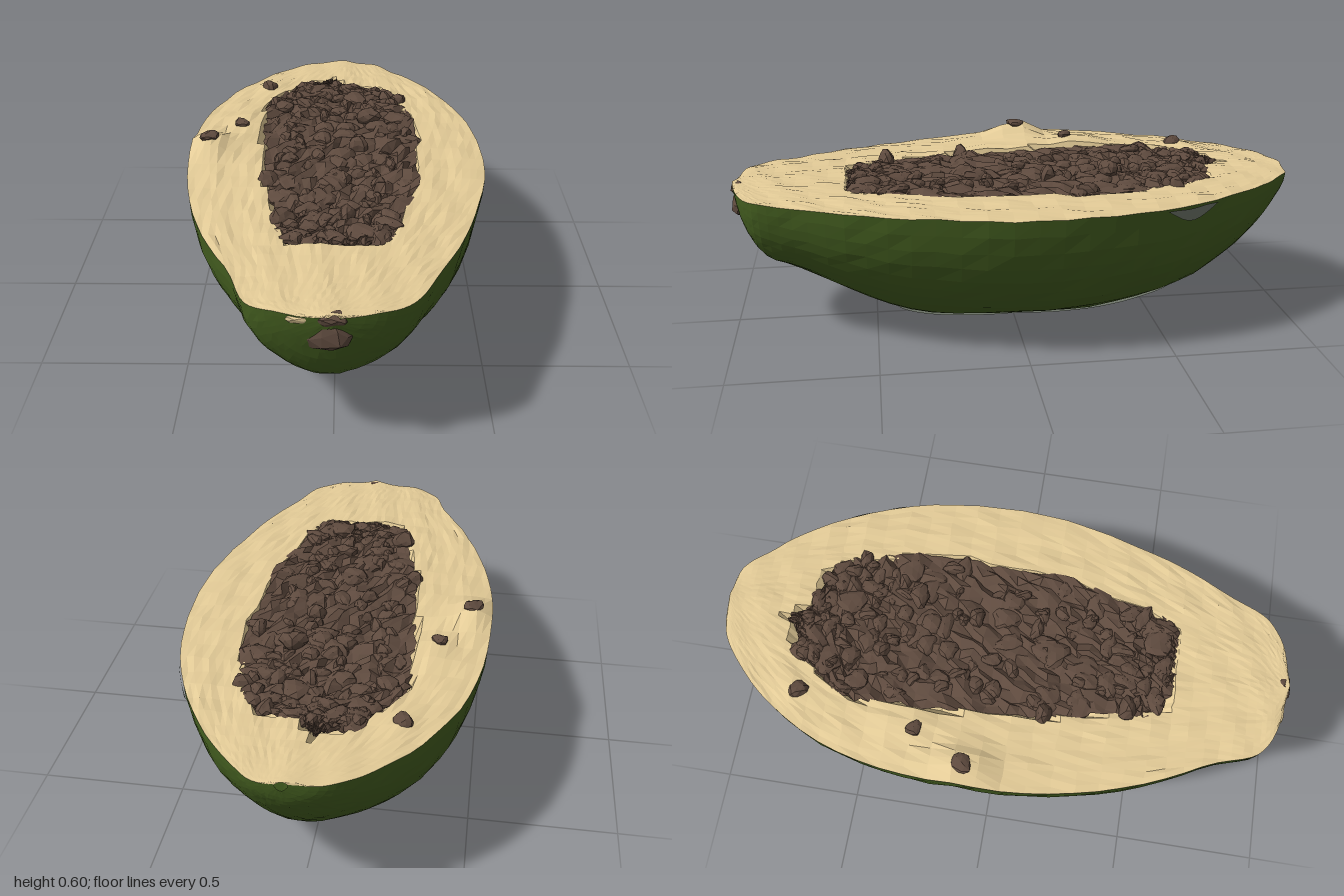
import * as THREE from 'three';
import { mergeGeometries } from 'three/addons/utils/BufferGeometryUtils.js';

// Fruit stations: [z, left x, right x, underside y]
const BODY = [
  [-1, 0.01, 0.05, 0.5], [-0.99, -0.08, 0.12, 0.45], [-0.96, -0.15, 0.165, 0.39], [-0.9, -0.225, 0.22, 0.3],
  [-0.8, -0.32, 0.305, 0.2], [-0.62, -0.43, 0.41, 0.085], [-0.4, -0.5, 0.49, 0.03], [-0.15, -0.525, 0.525, 0.004],
  [0.1, -0.52, 0.52, 0.004], [0.35, -0.475, 0.465, 0.025], [0.57, -0.4, 0.395, 0.11], [0.75, -0.31, 0.31, 0.195],
  [0.87, -0.27, 0.255, 0.245], [0.925, -0.22, 0.2, 0.32], [0.957, -0.14, 0.13, 0.41], [0.98, -0.01, 0.02, 0.5],
];
// Seed bed stations: [z, left x, right x]
const BED = [
  [-0.77, -0.035, -0.01], [-0.73, -0.07, 0.01], [-0.7, -0.16, 0.035], [-0.65, -0.19, 0.2], [-0.54, -0.28, 0.25],
  [-0.4, -0.28, 0.28], [-0.2, -0.275, 0.305], [0, -0.26, 0.29], [0.2, -0.24, 0.275], [0.4, -0.19, 0.22],
  [0.52, -0.18, 0.2], [0.55, -0.1, 0.14], [0.585, -0.09, 0.11],
];
const ROWS = 46;

function random(seed) {
  return () => {
    seed = (seed * 16807) % 2147483647;
    return seed / 2147483647;
  };
}

// Smooth lookup along the stations, u from 0 (back) to 1 (front)
function stations(table) {
  const curve = (k) => new THREE.CatmullRomCurve3(
    table.map((s) => new THREE.Vector3(s[1], s[k], s[2])), false, 'catmullrom');
  const sides = curve(0);
  const under = table[0].length > 3 ? curve(3) : null;
  return (u) => {
    const p = sides.getPoint(u);
    return { z: p.y, left: p.x, right: p.z, bottom: under ? under.getPoint(u).y : 0 };
  };
}
const body = stations(BODY);
const bed = stations(BED);

// Grid surface over u (back to front) and v (left to right)
function sheet(rows, cols, point, flip = false) {
  const pos = [], index = [];
  for (let i = 0; i <= rows; i++)
    for (let j = 0; j <= cols; j++) pos.push(...point(i / rows, j / cols));
  for (let i = 0; i < rows; i++)
    for (let j = 0; j < cols; j++) {
      const a = i * (cols + 1) + j, b = a + 1, c = a + cols + 1, d = c + 1;
      index.push(...(flip ? [a, b, c, b, d, c] : [a, c, b, b, c, d]));
    }
  const geo = new THREE.BufferGeometry();
  geo.setAttribute('position', new THREE.Float32BufferAttribute(pos, 3));
  geo.setIndex(index);
  geo.computeVertexNormals();
  return geo;
}

const mound = (x, z, cx, cz, r, h) => h * Math.exp(-((x - cx) ** 2 + (z - cz) ** 2) / (r * r));

// Height of the cut face
function cutHeight(x, z) {
  return 0.522 + 0.004 * Math.sin(x * 31 + z * 17) * Math.sin(z * 23 - x * 11)
    + mound(x, z, -0.46, -0.08, 0.08, 0.055)
    + mound(x, z, -0.34, -0.3, 0.09, 0.022)
    + mound(x, z, -0.28, -0.68, 0.06, 0.012)
    + mound(x, z, -0.5, -0.1, 0.35, 0.018);
}

// Point on the underside: full flanks narrowing to a keel
function skinPoint(u, v) {
  const s = body(u);
  const c = -Math.cos(v * Math.PI), drop = Math.sin(v * Math.PI);
  const half = (s.right - s.left) / 2 * (1 - 0.2 * drop ** 4);
  const x = (s.left + s.right) / 2 + half * c;
  const rim = cutHeight(c < 0 ? s.left : s.right, s.z);
  const dent = 0.006 * Math.sin(s.z * 9 + x * 8) * Math.sin(x * 13) * drop;
  return [x, Math.max(0.004, rim - (rim - s.bottom) * drop + dent), s.z];
}

// True inside the seed bed, just short of its edge
function overBed(x, z) {
  const i = BED.findIndex((s) => s[0] > z);
  if (i < 1) return false;
  const [a, b] = [BED[i - 1], BED[i]];
  const t = (z - a[0]) / (b[0] - a[0]);
  return x > a[1] + (b[1] - a[1]) * t + 0.012 && x < a[2] + (b[2] - a[2]) * t - 0.012;
}

// Irregular rounded lump
function lump(rand, x, y, z, sx, sy, sz) {
  const geo = new THREE.IcosahedronGeometry(1, 1);
  const p = geo.attributes.position;
  const k = rand() * 6;
  for (let i = 0; i < p.count; i++) {
    const a = p.getX(i), b = p.getY(i), c = p.getZ(i);
    const s = 1 + 0.22 * Math.sin(a * 3.1 + k) * Math.cos(c * 2.7 + k * 2) + 0.1 * Math.sin(b * 4 + k);
    p.setXYZ(i, a * s, b * s, c * s);
  }
  geo.scale(sx, sy, sz);
  geo.rotateY((rand() - 0.5) * 0.6);
  geo.translate(x, y, z);
  geo.computeVertexNormals();
  return geo;
}

export function createModel() {
  const group = new THREE.Group();
  const mat = (name, color) => {
    const m = new THREE.MeshStandardMaterial({ color, flatShading: true, side: THREE.DoubleSide });
    m.name = name;
    return m;
  };
  const green = mat('green skin', 0x445e20);
  const grey = mat('grey blemish', 0x6f766a);
  const cream = mat('cream flesh', 0xe3cb97);
  const brown = mat('dark brown seed', 0x5e4a3e);
  const add = (name, geo, material) => {
    const mesh = new THREE.Mesh(geo, material);
    mesh.name = name;
    group.add(mesh);
  };
  const rand = random(4711);
  const jitter = (size) => (rand() - 0.5) * size;

  // Skin: faceted half hull, its facets pressed slightly inwards
  add('skin', sheet(ROWS, 26, (u, v) => {
    const [x, y, z] = skinPoint(u, v);
    const inner = v > 0 && v < 1;
    return inner ? [x * (1 - 0.01 * rand()), y + 0.005 * rand(), z] : [x, y, z];
  }, true), green);

  // Blemishes: thin patches on the keel and just beneath the right rim
  add('keelBlemish', sheet(36, 14, (u, v) => {
    const taper = Math.min(1, 2.2 * Math.sqrt(u * (1 - u))) * (1 + 0.16 * Math.sin(u * 19));
    const [x, y, z] = skinPoint(0.325 + 0.3 * u, 0.53 + 0.02 * Math.sin(u * 8) + (v - 0.5) * 0.21 * taper);
    return [x, y - 0.004, z];
  }, true), grey);
  add('rimBlemish', sheet(8, 3, (u, v) => {
    const [x, y, z] = skinPoint(0.325 + 0.06 * u, 0.995 - (1 - v) * 0.03 * Math.sin(Math.PI * u));
    return [x + 0.005, y, z];
  }, true), grey);

  // Flesh: cut face, sunk beneath the seeds, smoother towards the tips
  add('flesh', sheet(ROWS, 40, (u, v) => {
    const s = body(u);
    const width = s.right - s.left;
    const x = s.left + width * v;
    const y = cutHeight(x, s.z) + 0.009 * Math.sin(v * Math.PI);
    if (v === 0 || v === 1) return [x, y, s.z];
    const rough = 0.007 * Math.min(1, 1.5 * width * width);
    return [x + jitter(rough), y + jitter(rough) - (overBed(x, s.z) ? 0.06 : 0), s.z + jitter(rough)];
  }), cream);

  // Seed bed: crumpled sheet with flattened lumps pushed through it
  add('seedBed', sheet(60, 20, (u, v) => {
    const s = bed(u);
    const edge = Math.min(v, 1 - v, u, 1 - u) < 0.01;
    const width = s.right - s.left;
    const x = s.left + width * v + jitter(0.04 * width);
    return [x, 0.527 + jitter(edge ? 0.016 : 0.036), s.z + jitter(0.016)];
  }), brown);
  const seeds = [];
  for (let i = 0; i < 170; i++) {
    const s = bed(0.15 + 0.76 * rand());
    const x = s.left + (s.right - s.left) * (0.06 + 0.88 * rand());
    const r = 0.02 + 0.025 * rand();
    seeds.push(lump(rand, x, 0.514 + 0.012 * rand(), s.z, r * (0.6 + 0.8 * rand()), 0.024, r * (0.6 + 0.8 * rand())));
  }
  // Taller clumps standing out of the bed
  for (const [x, z, h] of [[0.12, -0.33, 0.596], [-0.17, 0.44, 0.58], [-0.23, 0.16, 0.568], [0.08, -0.12, 0.565], [0.24, -0.55, 0.555]])
    seeds.push(lump(rand, x, h - 0.04, z, 0.042, 0.037, 0.03));
  add('seeds', mergeGeometries(seeds), brown);

  // Loose seeds on the flesh
  const loose = [[-0.28, 0.54, -0.68, 0.032], [-0.36, 0.555, -0.26, 0.028], [-0.46, 0.586, -0.08, 0.034]];
  add('looseSeeds', mergeGeometries(loose.map(([x, y, z, r]) => lump(rand, x, y, z, r, 0.018, r))), brown);

  // Stem scar at the narrow end, with torn flesh beside it
  add('stemScar', mergeGeometries([
    lump(rand, -0.025, 0.455, 0.944, 0.085, 0.064, 0.034),
    lump(rand, 0, 0.508, 0.962, 0.045, 0.026, 0.026),
  ]), brown);
  add('tornFlesh', lump(rand, -0.085, 0.505, 0.95, 0.05, 0.02, 0.022), cream);

  return group;
}
